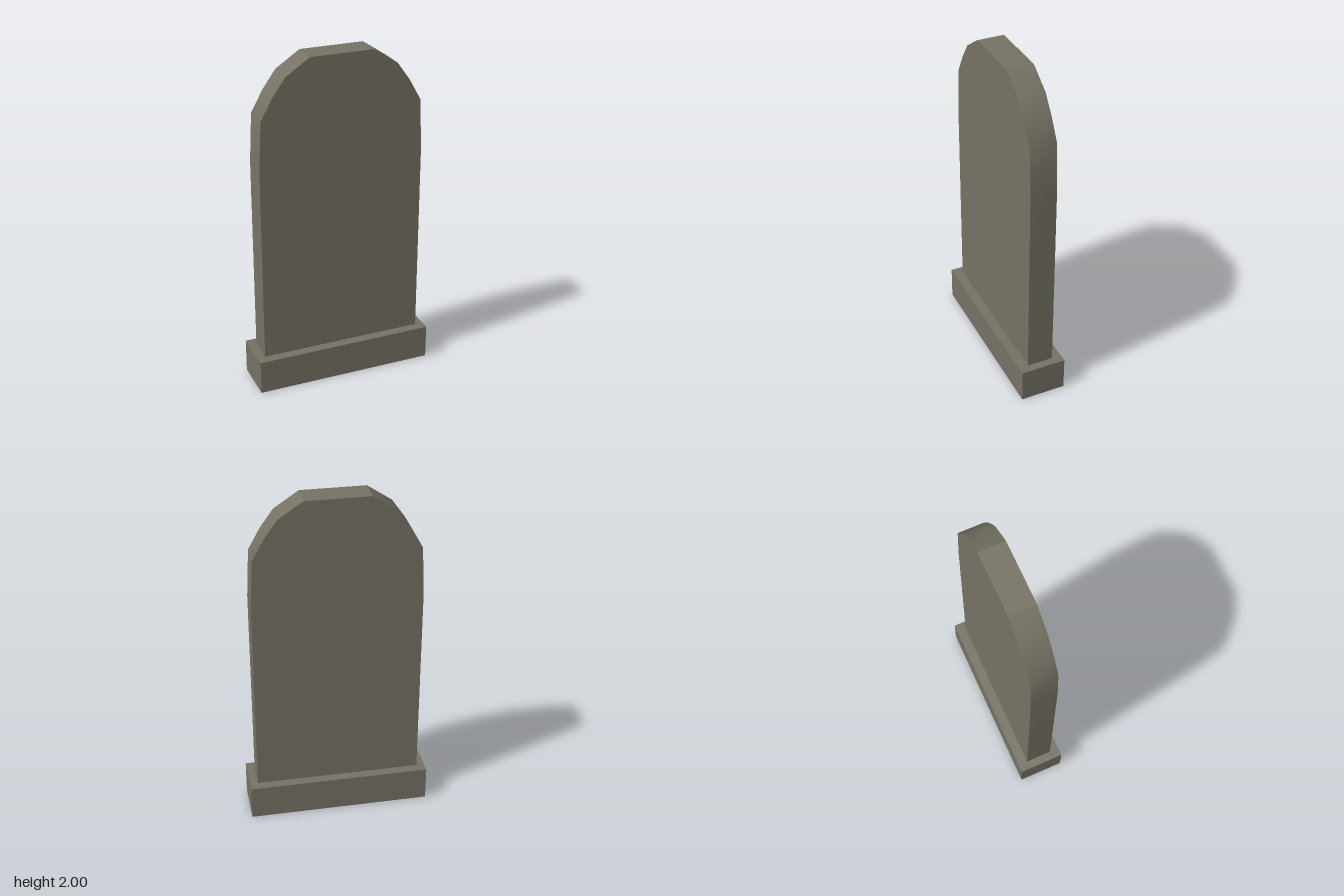
import * as THREE from 'three';
import { toCreasedNormals } from 'three/addons/utils/BufferGeometryUtils.js';

export function createModel() {
  const model = new THREE.Group();
  model.name = 'gravestone';
  const stone = new THREE.MeshStandardMaterial({ color: 0x757264 });
  stone.name = 'weathered stone';

  // Plinth
  const baseHeight = 0.205;
  const base = new THREE.Mesh(new THREE.BoxGeometry(1.076, baseHeight, 0.272), stone);
  base.name = 'base';
  base.position.y = baseHeight / 2;
  model.add(base);

  // Upright slab: right half of the outline, mirrored to the left
  const half = [[0.49, baseHeight], [0.49, 1.39], [0.475, 1.675], [0.405, 1.8], [0.33, 1.905], [0.188, 2]];
  const mirrored = half.map(([x, y]) => [-x, y]).reverse();
  const outline = new THREE.Shape([...half, ...mirrored].map(([x, y]) => new THREE.Vector2(x, y)));
  const depth = 0.157;
  const slabGeometry = new THREE.ExtrudeGeometry(outline, { depth, bevelEnabled: false });
  slabGeometry.translate(0, 0, -depth / 2);

  // Smooth shoulders, crisp flat top and faces
  const slab = new THREE.Mesh(toCreasedNormals(slabGeometry, THREE.MathUtils.degToRad(30)), stone);
  slab.name = 'slab';
  model.add(slab);

  return model;
}
